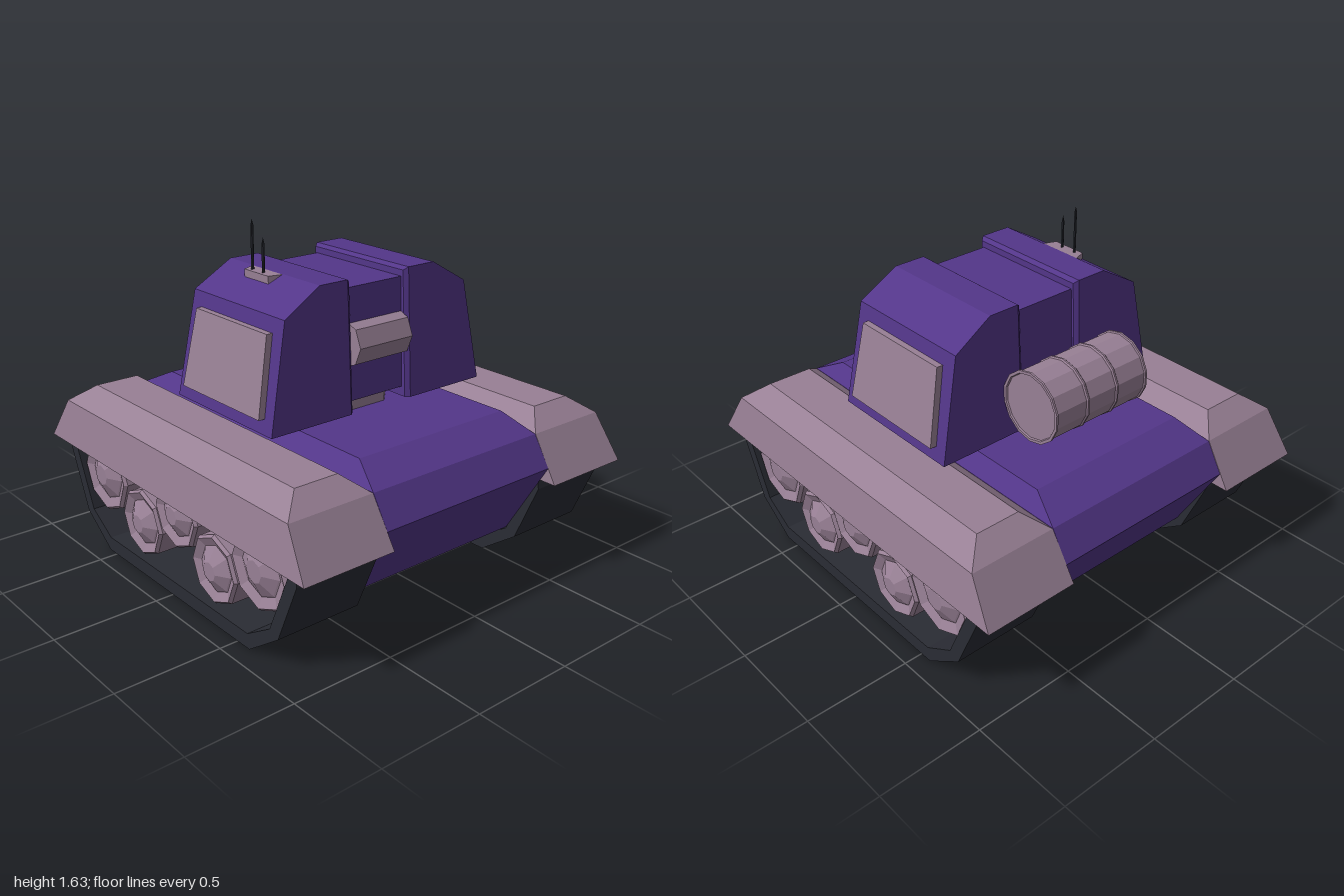
import * as THREE from 'three';
import { ConvexGeometry } from 'three/addons/geometries/ConvexGeometry.js';

const material = (name, color) => {
  const m = new THREE.MeshStandardMaterial({ color, side: THREE.DoubleSide });
  m.name = name;
  return m;
};

export function createModel() {
  const model = new THREE.Group();
  model.name = 'tank';
  const purple = material('purple armour', 0x533689);
  const mauve = material('mauve metal', 0x988095);
  const dark = material('dark rubber', 0x2a2c34);

  // Faceted mesh: every face gets its own normal
  const add = (name, geometry, mat, x = 0, y = 0, z = 0) => {
    const g = geometry.index ? geometry.toNonIndexed() : geometry;
    g.computeVertexNormals();
    const mesh = new THREE.Mesh(g, mat);
    mesh.name = name;
    mesh.position.set(x, y, z);
    model.add(mesh);
  };
  const convex = (pts) => new ConvexGeometry(pts.map((p) => new THREE.Vector3(...p)));
  const lathe = (pts, sides) => new THREE.LatheGeometry(pts.map((p) => new THREE.Vector2(...p)), sides);
  // Corners of a level rectangle: height, x range, z range
  const ring = (y, x0, x1, z0, z1) => [[x0, y, z1], [x1, y, z1], [x1, y, z0], [x0, y, z0]];

  // Open-bottomed shell through stacked rectangles
  const shell = (rows) => {
    const pos = [];
    const quad = (a, b, c, d) => pos.push(...a, ...b, ...c, ...a, ...c, ...d);
    for (let r = 0; r < rows.length - 1; r++) {
      for (let i = 0; i < 4; i++) {
        const j = (i + 1) % 4;
        quad(rows[r][i], rows[r][j], rows[r + 1][j], rows[r + 1][i]);
      }
    }
    quad(...rows[rows.length - 1]);
    const g = new THREE.BufferGeometry();
    g.setAttribute('position', new THREE.Float32BufferAttribute(pos, 3));
    return g;
  };

  // Hull shell with sloping ends and chamfered top
  add('hull', shell([
    ring(0.173, -0.73, 0.73, -0.488, 0.488),
    ring(0.55, -0.953, 0.957, -0.488, 0.488),
    ring(0.69, -0.87, 0.87, -0.488, 0.488),
    ring(0.77, -0.71, 0.712, -0.43, 0.425),
  ]), purple);

  // Closed track outline, mirrored about its middle
  const outline = (half) => [...half, ...half.map(([x, y]) => [-x, y]).reverse()]
    .map(([x, y]) => new THREE.Vector2(x + 0.012, y));
  const trackShape = new THREE.Shape(outline([[0.572, 0], [0.77, 0.14], [0.895, 0.43], [0.865, 0.59], [0.77, 0.66]]));
  trackShape.holes.push(new THREE.Path(outline([[0.56, 0.07], [0.715, 0.165], [0.835, 0.44], [0.81, 0.55], [0.74, 0.6]])));

  // Wheels: x, y, radius
  const wheels = [[-0.605, 0.38, 0.19], [-0.285, 0.243, 0.165], [0.01, 0.395, 0.165],
    [0.3, 0.243, 0.165], [0.625, 0.38, 0.19]];

  for (const s of [1, -1]) {
    const side = s > 0 ? 'front' : 'back';
    const span = (a, b) => (s > 0 ? [a, b] : [-b, -a]);

    add(side + 'Track', new THREE.ExtrudeGeometry(trackShape, { depth: 0.42, bevelEnabled: false }),
      dark, 0, 0, s > 0 ? 0.49 : -0.91);

    add(side + 'Fender', shell([
      ring(0.48, -1, 1, ...span(0.487, 0.948)),
      ring(0.69, -0.87, 0.87, ...span(0.49, 0.92)),
      ring(0.77, -0.77, 0.77, ...span(0.59, 0.81)),
    ]), mauve);

    // Wheels with a dished face and a blunt hub
    for (const [x, y, r] of wheels) {
      const g = lathe([[0, 0.5], [r, 0.5], [r, 0.875], [r * 0.93, 0.89], [r * 0.68, 0.87],
        [r * 0.64, 0.875], [r * 0.27, 0.91], [0, 0.91]], 8);
      g.rotateX(s * Math.PI / 2);
      add(side + 'Wheel', g, mauve, x, y, 0);
    }

    // Turret half: tapered block, chamfered towards the middle slot
    const zc = -0.015;
    const half = [];
    for (const [z, y, hx] of [[0.625, 0.793, 0.357], [0.53, 1.29, 0.334], [0.335, 1.405, 0.325],
      [0.18, 1.405, 0.325], [0.18, 0.793, 0.357], [0.16, 0.793, 0.34], [0.16, 1.39, 0.31]]) {
      half.push([hx + 0.004, y, zc + s * z], [-hx + 0.004, y, zc + s * z]);
    }
    add(side + 'TurretHalf', convex(half), purple);

    // Raised panel following the slope of the turret face
    const panel = [];
    for (const [y, hx, z] of [[0.86, 0.294, 0.613], [1.222, 0.267, 0.543]]) {
      for (const e of [-1, 1]) {
        panel.push([0.005 + e * hx, y, zc + s * (z - 0.03)],
          [0.005 + e * (hx - 0.004), y, zc + s * (z + 0.03)]);
      }
    }
    add(side + 'TurretPanel', convex(panel), mauve);
  }

  // Turret ring and middle block
  const ringGeo = new THREE.CylinderGeometry(0.3, 0.3, 0.1, 8);
  ringGeo.rotateY(Math.PI / 8);
  add('turretRing', ringGeo, mauve, -0.008, 0.8, 0);
  add('turretMiddle', convex([
    ...ring(0.838, -0.325, 0.32, -0.18, 0.15),
    ...ring(1.36, -0.295, 0.302, -0.18, 0.15),
  ]), purple);

  // Octagonal mount set in the turret slot
  const mount = new THREE.CylinderGeometry(0.113, 0.113, 0.312, 8);
  mount.rotateX(Math.PI / 2);
  add('gunMount', mount, mauve, 0.275, 1.1, -0.017);

  // Fuel drum with slim ribs and recessed ends
  const R = 0.169, B = 0.163;
  const profile = [[0, -0.267], [0.152, -0.267], [0.156, -0.274], [R, -0.274], [R, -0.264], [B, -0.26]];
  for (const y of [-0.085, 0.09]) profile.push([B, y - 0.01], [R, y - 0.004], [R, y + 0.004], [B, y + 0.01]);
  profile.push([B, 0.26], [R, 0.264], [R, 0.274], [0.156, 0.274], [0.152, 0.267], [0, 0.267]);
  const drum = lathe(profile, 14);
  drum.rotateX(Math.PI / 2);
  add('fuelDrum', drum, mauve, -0.507, 1.02, -0.017);

  // Filler neck with a dark opening
  for (const [name, r, mat, z] of [['drumNeck', 0.024, mauve, 0.25], ['drumOpening', 0.016, dark, 0.252]]) {
    const g = new THREE.CylinderGeometry(r, r, 0.008, 8);
    g.rotateX(Math.PI / 2);
    add(name, g, mat, -0.507, 1.125, z);
  }

  // Aerial base on the sloping roof, with two aerials
  add('aerialBase', convex([
    ...ring(1.362, -0.12, 0.055, 0.32, 0.385),
    [-0.148, 1.404, 0.313], [0.078, 1.404, 0.313], [-0.12, 1.402, 0.386], [0.055, 1.402, 0.386],
  ]), mauve);
  for (const [x, top] of [[-0.09, 1.63], [-0.01, 1.56]]) {
    const h = top - 1.39;
    const g = lathe([[0, 0], [0.007, 0], [0.007, h - 0.03], [0, h]], 6);
    g.scale(0.6, 1, 1.2);
    add('aerial', g, dark, x, 1.39, 0.362);
  }

  return model;
}
